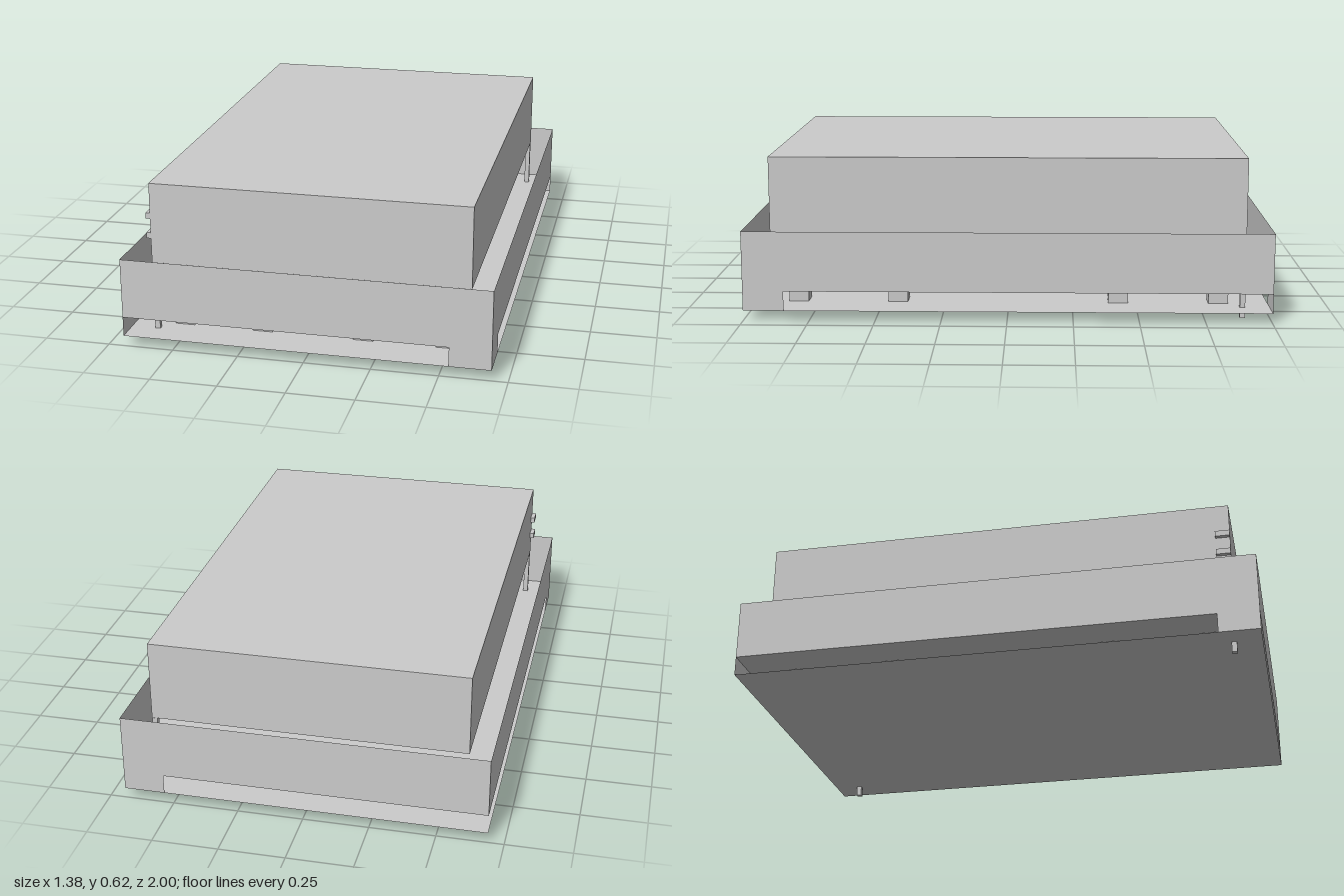
import * as THREE from 'three';

const W = 0.69, D = 1, FLOOR = 0.04, DECK = 0.115, RIM = 0.345, LEG = 0.155;

export function createModel() {
  const model = new THREE.Group();
  const solid = new THREE.MeshStandardMaterial({ color: 0xcccccc, flatShading: true });
  const sheet = new THREE.MeshStandardMaterial({ color: 0xcccccc, flatShading: true, side: THREE.DoubleSide });

  const add = (name, geometry, material, x, y, z, turn = 0) => {
    const mesh = new THREE.Mesh(geometry, material);
    mesh.name = name;
    mesh.position.set(x, y, z);
    mesh.rotation.y = turn;
    model.add(mesh);
    return mesh;
  };
  // Box given by its minimum and maximum corners
  const box = (name, a, b) => add(name,
    new THREE.BoxGeometry(b[0] - a[0], b[1] - a[1], b[2] - a[2]), solid,
    (a[0] + b[0]) / 2, (a[1] + b[1]) / 2, (a[2] + b[2]) / 2);
  // Horizontal sheet
  const level = (name, y) => add(name,
    new THREE.PlaneGeometry(2 * W, 2 * D).rotateX(-Math.PI / 2), sheet, 0, y, 0);

  level('basePlate', FLOOR);
  level('deck', DECK);

  // Thin skirt walls around the tray
  const wall = (name, half, x, z, turn) => add(name,
    new THREE.PlaneGeometry(2 * half, RIM - DECK), sheet, x, (RIM + DECK) / 2, z, turn);
  wall('frontWall', W, 0, D, 0);
  wall('backWall', W, 0, -D, Math.PI);
  wall('leftWall', D, W, 0, Math.PI / 2);
  wall('rightWall', D, -W, 0, -Math.PI / 2);

  // Corner legs: some are two-sided, the others face inwards only
  const leg = (name, x, z, turn, outside) => add(name,
    new THREE.PlaneGeometry(LEG, DECK - FLOOR), outside ? sheet : solid,
    x, (DECK + FLOOR) / 2, z, outside ? turn : turn + Math.PI);
  for (const sx of [-1, 1]) {
    for (const sz of [-1, 1]) {
      leg('cornerLegEnd', sx * (W - LEG / 2), sz * D, sz > 0 ? 0 : Math.PI, sx > 0);
      leg('cornerLegSide', sx * W, sz * (D - LEG / 2), sx * Math.PI / 2, sz > 0);
    }
  }

  // Grid of spacer blocks between plate and deck
  for (const x of [-0.5, -0.195, 0.19, 0.5]) {
    for (const z of [-0.81, -0.425, 0.425, 0.81]) {
      box('spacerBlock', [x - 0.038, FLOOR, z - 0.038], [x + 0.038, DECK, z + 0.038]);
    }
  }

  // Raised body on two diagonal pins
  box('body', [-0.6, 0.305, -0.905], [0.6, 0.615, 0.905]);
  for (const s of [-1, 1]) {
    box('supportPin', [s * 0.589 - 0.01, 0, -s * 0.896 - 0.01], [s * 0.589 + 0.01, 0.305, -s * 0.896 + 0.01]);
  }

  // Small knobs on the right side near the front
  for (const y of [0.4, 0.477]) box('sideKnob', [-0.617, y, 0.85], [-0.6, y + 0.022, 0.905]);

  return model;
}
